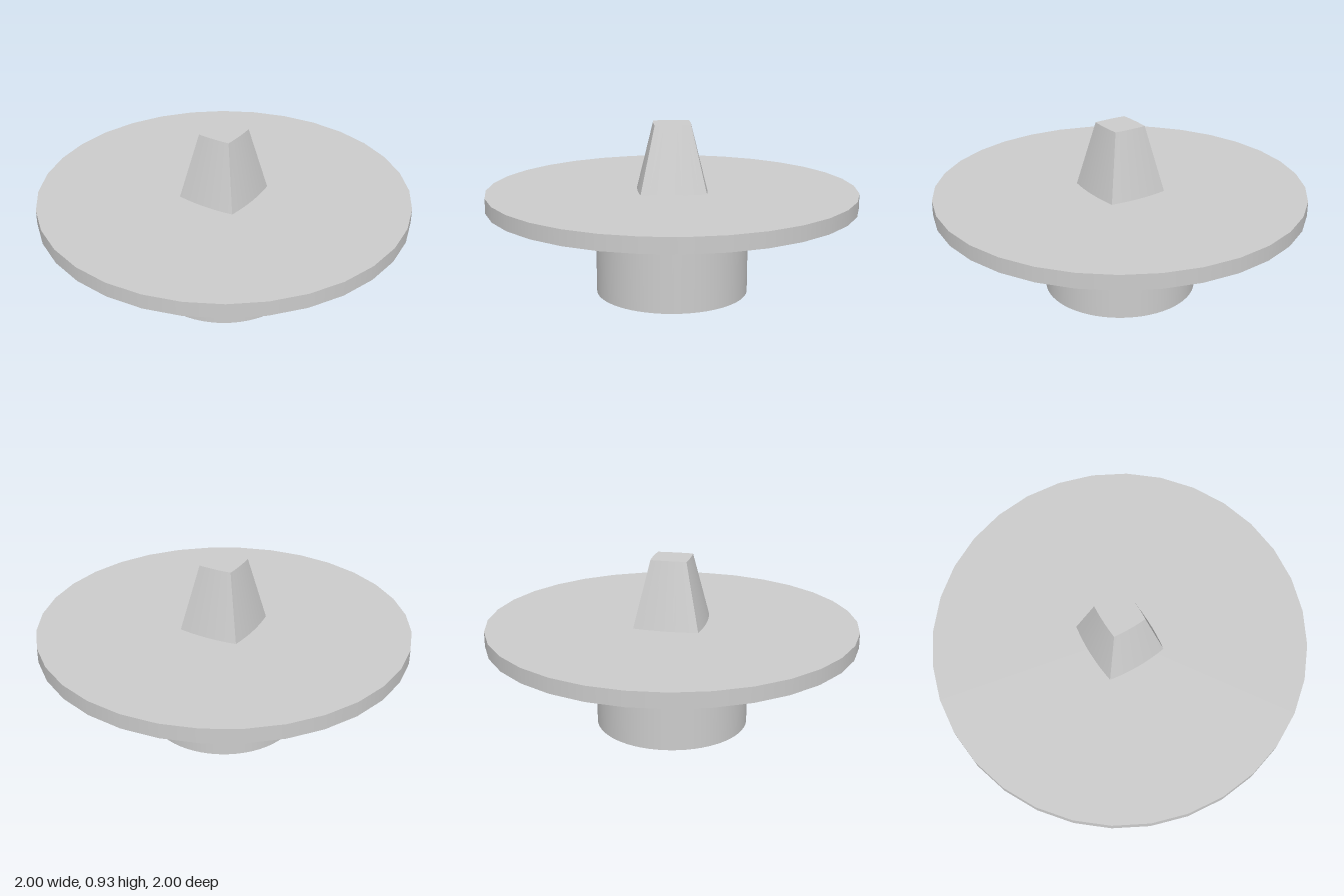
import * as THREE from 'three';

const material = new THREE.MeshStandardMaterial({ color: 0xcccccc });

function add(group, name, geometry, y = 0) {
  const mesh = new THREE.Mesh(geometry, material);
  mesh.name = name;
  mesh.position.y = y;
  group.add(mesh);
  return mesh;
}

// Tapered square block whose four sides bow gently outwards
function taperedBlock(bottom, top, segments = 8) {
  const positions = [], indices = [];
  // Corner directions, counter-clockwise seen from above
  const corners = [[-1, 1], [1, 1], [1, -1], [-1, -1]];
  const outward = [[0, 1], [1, 0], [0, -1], [-1, 0]];
  const pointOn = (ring, side, t) => {
    const a = corners[side], b = corners[(side + 1) % 4], n = outward[side];
    const bow = ring.bow * 4 * t * (1 - t);
    return [
      THREE.MathUtils.lerp(a[0], b[0], t) * ring.x + n[0] * bow,
      ring.y,
      THREE.MathUtils.lerp(a[1], b[1], t) * ring.z + n[1] * bow,
    ];
  };
  for (let side = 0; side < 4; side++) {
    const start = positions.length / 3;
    for (let i = 0; i <= segments; i++) {
      positions.push(...pointOn(bottom, side, i / segments), ...pointOn(top, side, i / segments));
    }
    for (let i = 0; i < segments; i++) {
      const k = start + i * 2;
      indices.push(k, k + 2, k + 3, k, k + 3, k + 1);
    }
  }
  // Flat end caps as fans
  for (const [ring, up] of [[top, true], [bottom, false]]) {
    const centre = positions.length / 3, count = 4 * segments;
    positions.push(0, ring.y, 0);
    for (let i = 0; i < count; i++) {
      positions.push(...pointOn(ring, Math.floor(i / segments), (i % segments) / segments));
    }
    for (let i = 0; i < count; i++) {
      const a = centre + 1 + i, b = centre + 1 + ((i + 1) % count);
      indices.push(centre, up ? a : b, up ? b : a);
    }
  }
  const geometry = new THREE.BufferGeometry();
  geometry.setAttribute('position', new THREE.Float32BufferAttribute(positions, 3));
  geometry.setIndex(indices);
  geometry.computeVertexNormals();
  return geometry;
}

export function createModel() {
  const model = new THREE.Group();
  model.name = 'roundStopper';

  // Round plug at the bottom
  add(model, 'plug', new THREE.CylinderGeometry(0.415, 0.415, 0.455, 64), 0.2275);

  // Wide flange: flat top, thin rim, shallow conical underside
  const flange = new THREE.Group();
  flange.name = 'flange';
  add(flange, 'flangeTop', new THREE.CylinderGeometry(1, 1, 0.08, 32), 0.53);
  add(flange, 'flangeUnderside', new THREE.CylinderGeometry(1, 0.41, 0.042, 32, 1, true), 0.469);
  model.add(flange);

  // Tapered grip on top
  add(model, 'grip', taperedBlock(
    { x: 0.167, z: 0.176, y: 0.565, bow: 0.014 },
    { x: 0.091, z: 0.096, y: 0.928, bow: 0.004 },
  ));
  return model;
}
